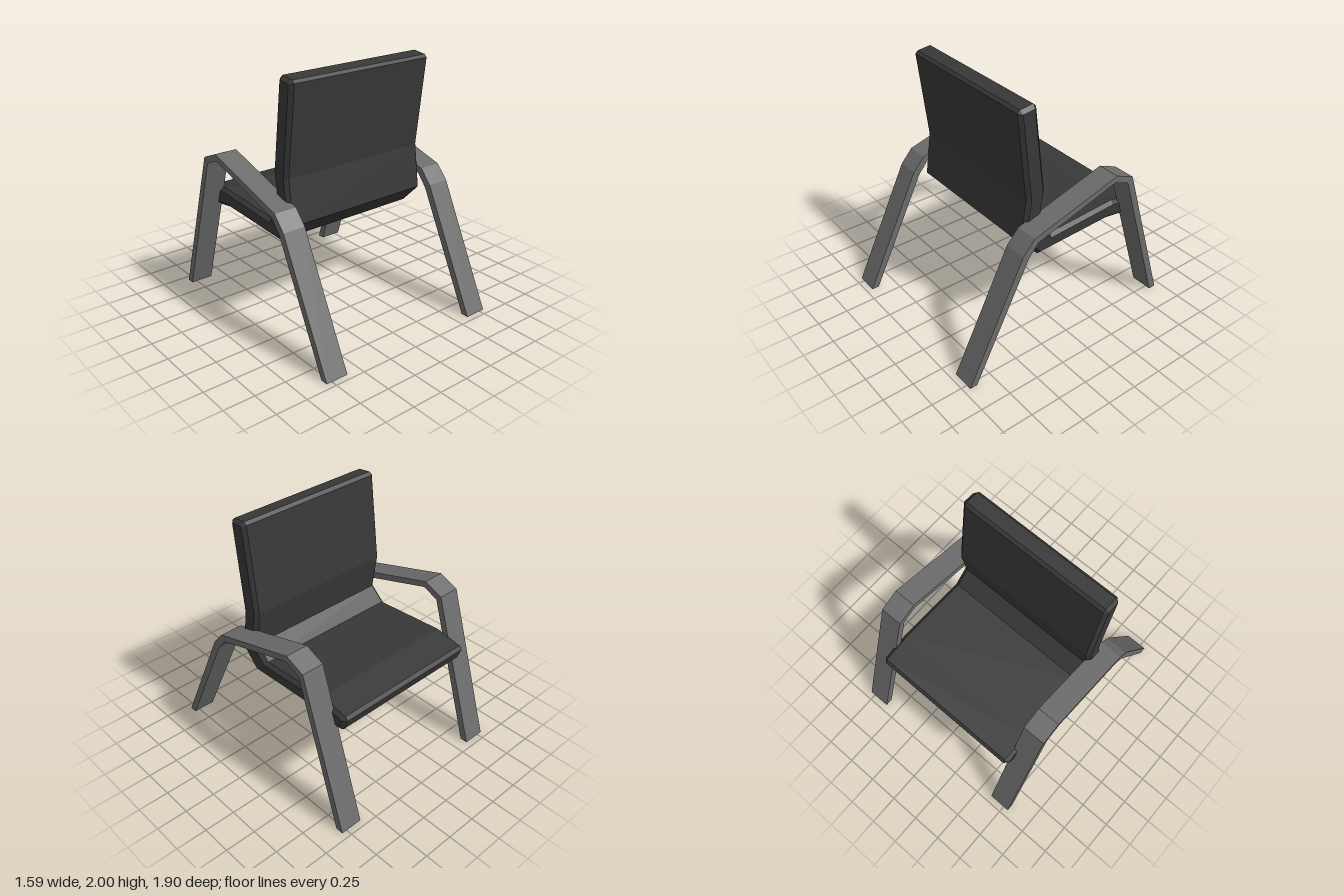
import * as THREE from 'three';

const shellMaterial = new THREE.MeshStandardMaterial({ color: 0x383838 });
shellMaterial.name = 'charcoal';
const frameMaterial = new THREE.MeshStandardMaterial({ color: 0x6c6c6c });
frameMaterial.name = 'mid grey';

// Extrudes a side profile of [z, y] points from x0 to x1, with an optional inward bevel.
function sideExtrude(points, x0, x1, bevel = 0) {
  const shape = new THREE.Shape(points.map(([z, y]) => new THREE.Vector2(-z, y)));
  const geometry = new THREE.ExtrudeGeometry(shape, {
    depth: x1 - x0 - 2 * bevel,
    bevelEnabled: bevel > 0,
    bevelSegments: 1,
    bevelSize: bevel,
    bevelThickness: bevel,
    bevelOffset: -bevel,
  });
  geometry.rotateY(Math.PI / 2);
  geometry.translate(x0 + bevel, 0, 0);
  return geometry;
}

export function createModel() {
  const chair = new THREE.Group();
  chair.name = 'armchair';

  // One bent slab forms the seat and backrest, chamfered on every edge
  const shellProfile = [
    [0.386, 1.966], [0.365, 1.987], [0.254, 2.0], [0.23, 1.978],
    [0.143, 1.288], [0.187, 0.996], [0.069, 0.89], [-0.54, 0.927],
    [-0.768, 0.886], [-0.79, 0.858], [-0.757, 0.768], [-0.73, 0.75],
    [-0.497, 0.784], [0.19, 0.755], [0.35, 0.917], [0.302, 1.261],
  ];
  const shell = new THREE.Mesh(sideExtrude(shellProfile, -0.645, 0.63, 0.028), shellMaterial);
  shell.name = 'seatAndBackrest';
  chair.add(shell);

  // Each side frame is a flat bar bent into two legs and an armrest
  const frameProfile = [
    [0.95, 0], [0.475, 0.963], [0.375, 1.075], [-0.387, 1.295], [-0.55, 1.228], [-0.947, 0],
    [-0.885, 0], [-0.508, 1.187], [-0.378, 1.243], [0.34, 1.03], [0.425, 0.928], [0.89, 0],
  ];
  for (const [name, x0] of [['leftFrame', 0.61], ['rightFrame', -0.795]]) {
    const frame = new THREE.Mesh(sideExtrude(frameProfile, x0, x0 + 0.183), frameMaterial);
    frame.name = name;
    chair.add(frame);
  }
  return chair;
}
